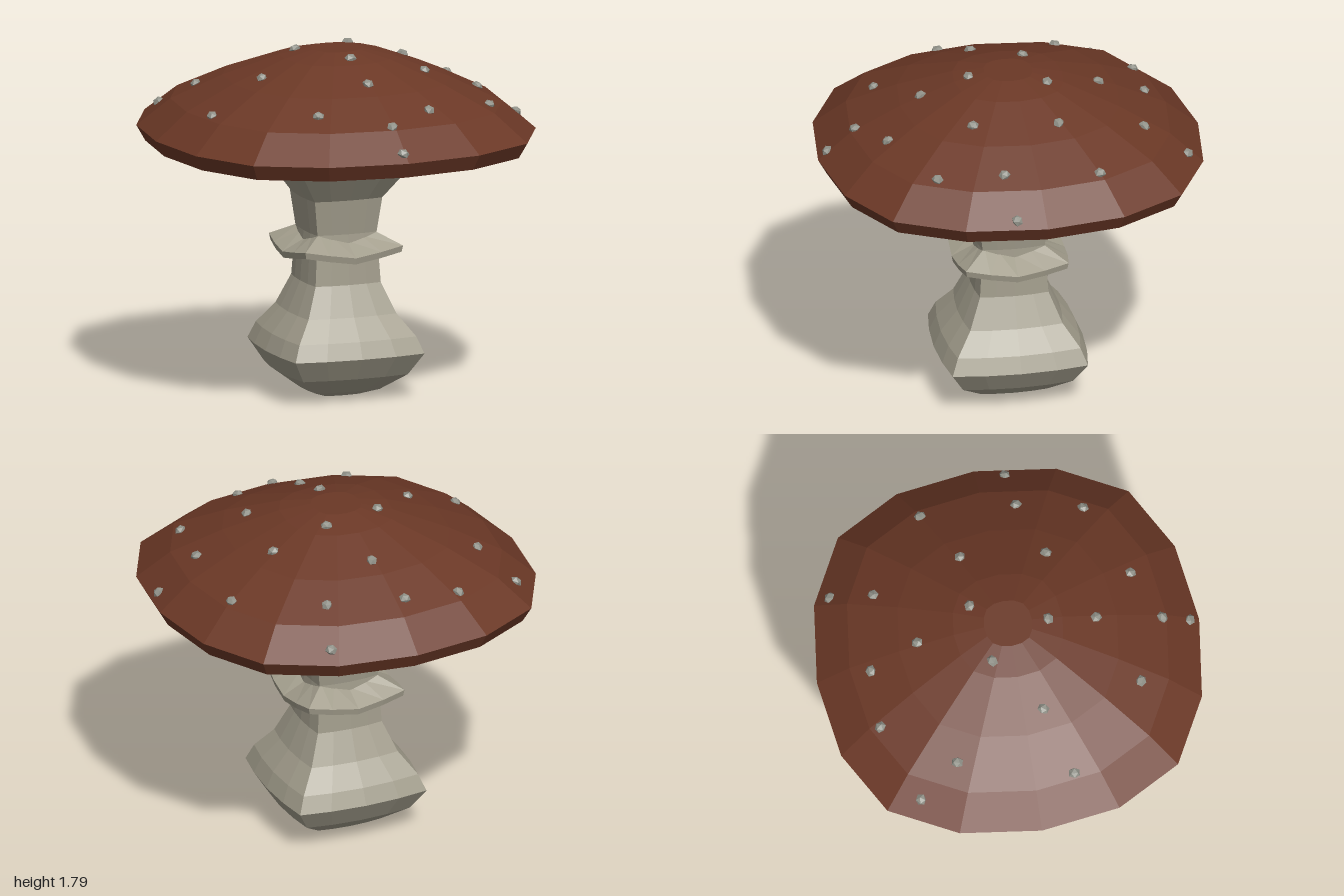
import * as THREE from 'three';

const capRed = new THREE.MeshStandardMaterial({ name: 'capBrown', color: 0x6b3826, flatShading: true });
const stemGrey = new THREE.MeshStandardMaterial({ name: 'stemGrey', color: 0xa29d8c, flatShading: true });
const wartGrey = new THREE.MeshStandardMaterial({ name: 'wartGrey', color: 0x8f9087, flatShading: true });

// Repeats one quarter of an outline [x, z] around the y axis
function fourfold(quarter) {
  const out = [];
  let pts = quarter;
  for (let k = 0; k < 4; k++) {
    out.push(...pts);
    pts = pts.map(([x, z]) => [-z, x]);
  }
  return out;
}

// Soft round-cornered square for the cap
const capOutline = fourfold([[1, -0.19], [0.96, 0.22], [0.81, 0.61], [0.555, 0.9]]);

// Sharper square with slightly bowed sides for the stem and skirt
const stemOutline = fourfold([0, 0.25, 0.5, 0.75].map((t) => {
  const bow = 1 + 0.1 * Math.sin(Math.PI * t);
  return [(1 - 0.41 * t) * bow, (-0.59 + 1.59 * t) * bow];
}));

// Skins rings of points listed from the underside outwards and up
function loft(rings, closed) {
  const pos = [];
  const tri = (...v) => v.forEach((p) => pos.push(...p));
  const n = rings[0].length;
  for (let i = 0; i < rings.length - 1; i++) {
    for (let j = 0; j < n; j++) {
      const k = (j + 1) % n;
      const a = rings[i][j], b = rings[i][k], c = rings[i + 1][k], d = rings[i + 1][j];
      tri(a, d, c);
      tri(a, c, b);
    }
  }
  if (closed) {
    const low = rings[0], top = rings[rings.length - 1];
    for (let j = 0; j < n; j++) {
      const k = (j + 1) % n;
      tri([0, low[0][1], 0], low[j], low[k]);
      tri([0, top[0][1], 0], top[k], top[j]);
    }
  }
  const g = new THREE.BufferGeometry();
  g.setAttribute('position', new THREE.Float32BufferAttribute(pos, 3));
  g.computeVertexNormals();
  return g;
}

// Scales an outline along a profile of [scale, height]; sag lowers the middle of each side
function rings(outline, profile, sag = 0) {
  return profile.map(([s, y]) => outline.map(([x, z], j) => {
    const drop = sag * (1 - Math.abs((j % 4) / 4 - 0.5) * 2);
    return [x * s, y - drop, z * s];
  }));
}

function part(name, geometry, material) {
  const m = new THREE.Mesh(geometry, material);
  m.name = name;
  return m;
}

const capTop = [[1, 1.375], [0.83, 1.515], [0.57, 1.64], [0.285, 1.748], [0.125, 1.785], [0, 1.785]];

// Height of the cap's upper surface
function capHeight(x, z) {
  let s = 0;
  capOutline.forEach(([ax, az], j) => {
    const [bx, bz] = capOutline[(j + 1) % capOutline.length];
    const nx = bz - az, nz = ax - bx;
    s = Math.max(s, (nx * x + nz * z) / (nx * ax + nz * az));
  });
  for (let i = 0; i < capTop.length - 1; i++) {
    const [s0, y0] = capTop[i], [s1, y1] = capTop[i + 1];
    if (s >= s1) return y0 + (y1 - y0) * (s0 - s) / (s0 - s1);
  }
  return 1.785;
}

export function createModel() {
  const model = new THREE.Group();
  model.name = 'mushroom';

  // Stem with a swollen base and flared neck
  const stemProfile = [
    [0.11, 0], [0.21, 0.035], [0.345, 0.125], [0.425, 0.24], [0.385, 0.325], [0.29, 0.435],
    [0.215, 0.59], [0.195, 0.85], [0.222, 1.03], [0.38, 1.23],
  ];
  model.add(part('stem', loft(rings(stemOutline, stemProfile), true), stemGrey));

  // Thin drooping skirt, raised at its corners
  const skirtProfile = [[0.18, 0.805], [0.315, 0.757], [0.322, 0.79], [0.18, 0.855]];
  model.add(part('skirt', loft(rings(stemOutline, skirtProfile, 0.042), false), stemGrey));

  // Cap with a bevelled rim and shallow underside
  const capProfile = [[0.375, 1.225], [0.66, 1.277], [0.955, 1.295], ...capTop.slice(0, -1)];
  model.add(part('cap', loft(rings(capOutline, capProfile), true), capRed));

  // Small warts scattered over the cap
  const spots = [
    [-0.15, -0.79], [0.35, -0.87], [0.32, -0.65], [0.63, -0.51], [-0.73, -0.6], [-0.54, -0.48],
    [-0.07, -0.46], [0.34, -0.31], [-0.14, -0.17], [-0.45, -0.12], [-0.71, -0.11], [0.71, -0.08],
    [0.2, 0.05], [0.44, 0.11], [-0.15, 0.15], [-0.78, 0.18], [0.77, 0.19], [0.91, 0.22],
    [0, 0.46], [0.53, 0.48], [-0.5, 0.52], [-0.73, 0.59], [0.03, 0.79],
  ];
  const wartShape = new THREE.IcosahedronGeometry(0.032, 0).scale(1, 0.72, 0.9);
  const warts = new THREE.Group();
  warts.name = 'warts';
  const up = new THREE.Vector3(0, 1, 0);
  spots.forEach(([x, z], i) => {
    const e = 0.02;
    const normal = new THREE.Vector3(
      capHeight(x - e, z) - capHeight(x + e, z), 2 * e, capHeight(x, z - e) - capHeight(x, z + e),
    ).normalize();
    const wart = part('wart', wartShape, wartGrey);
    wart.position.set(x, capHeight(x, z) + 0.004, z);
    wart.quaternion.setFromUnitVectors(up, normal);
    wart.rotateY(i * 1.7);
    warts.add(wart);
  });
  model.add(warts);
  return model;
}
